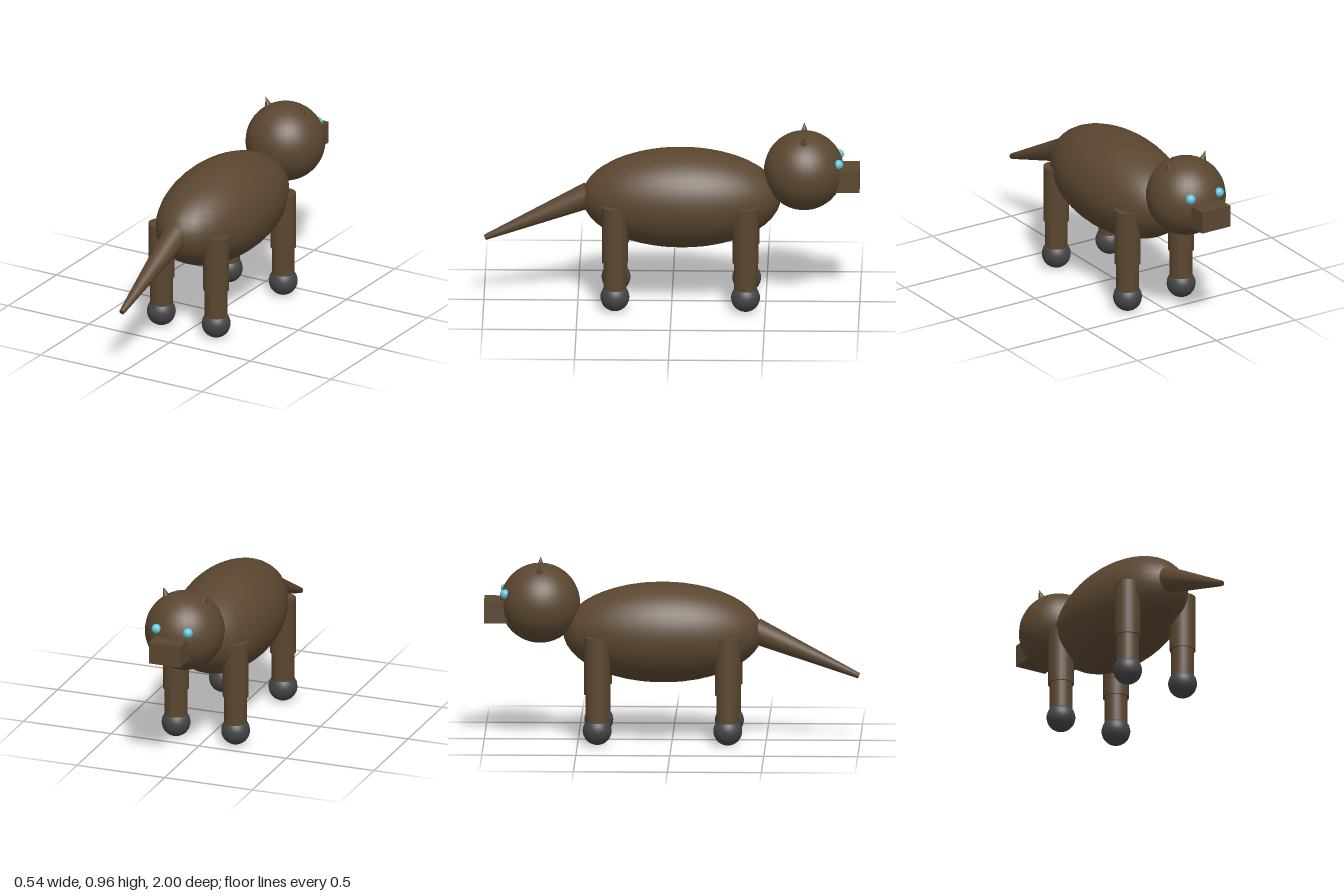
import * as THREE from 'three';

const material = (name, color) => {
  const m = new THREE.MeshStandardMaterial({ color });
  m.name = name;
  return m;
};

export function createModel() {
  const model = new THREE.Group();
  model.name = 'animal';
  const fur = material('brown fur', 0x5a4630);
  const paw = material('dark grey paw', 0x444444);
  const eyeBlue = material('light blue eye', 0x62c6da);

  const add = (name, geometry, mat, x, y, z, parent = model) => {
    const mesh = new THREE.Mesh(geometry, mat);
    mesh.name = name;
    mesh.position.set(x, y, z);
    parent.add(mesh);
    return mesh;
  };

  // Long oval body
  const body = add('body', new THREE.SphereGeometry(1, 32, 24), fur, 0, 0.582, -0.05);
  body.scale.set(0.268, 0.268, 0.53);

  // Head and square muzzle, pointing along -z
  add('head', new THREE.SphereGeometry(0.213, 32, 24), fur, 0, 0.737, -0.703);
  add('muzzle', new THREE.BoxGeometry(0.18, 0.12, 0.2), fur, 0, 0.7, -0.9);

  // Eyes and small ears tilted outward
  const eyeGeometry = new THREE.SphereGeometry(0.026, 16, 12);
  const earGeometry = new THREE.ConeGeometry(0.03, 0.08, 16);
  for (const [side, s] of [['left', 1], ['right', -1]]) {
    add(side + 'Eye', eyeGeometry, eyeBlue, s * 0.09, 0.798, -0.888);
    const ear = add(side + 'Ear', earGeometry, fur, s * 0.11, 0.927, -0.703);
    ear.rotation.z = -s * 0.33;
  }

  // Four legs: thick thigh, thinner shin, round paw
  const thigh = new THREE.CylinderGeometry(0.069, 0.069, 0.31, 24);
  const shin = new THREE.CylinderGeometry(0.061, 0.061, 0.22, 24);
  const ball = new THREE.SphereGeometry(0.077, 24, 16);
  for (const x of [-0.17, 0.17]) {
    for (const z of [-0.395, 0.3]) {
      const leg = new THREE.Group();
      leg.name = (z < 0 ? 'front' : 'hind') + (x > 0 ? 'Left' : 'Right') + 'Leg';
      leg.position.set(x, 0, z);
      model.add(leg);
      add('thigh', thigh, fur, 0, 0.428, 0, leg);
      add('shin', shin, fur, 0, 0.2, 0, leg);
      add('paw', ball, paw, 0, 0.078, 0, leg);
    }
  }

  // Tapered tail sloping down and away from the body
  const root = new THREE.Vector3(0, 0.592, 0.44);
  const tip = new THREE.Vector3(0, 0.35, 0.994);
  const along = tip.clone().sub(root);
  const middle = root.clone().lerp(tip, 0.5);
  const tail = add('tail', new THREE.CylinderGeometry(0.015, 0.07, along.length(), 24), fur,
    middle.x, middle.y, middle.z);
  tail.quaternion.setFromUnitVectors(new THREE.Vector3(0, 1, 0), along.normalize());

  return model;
}
